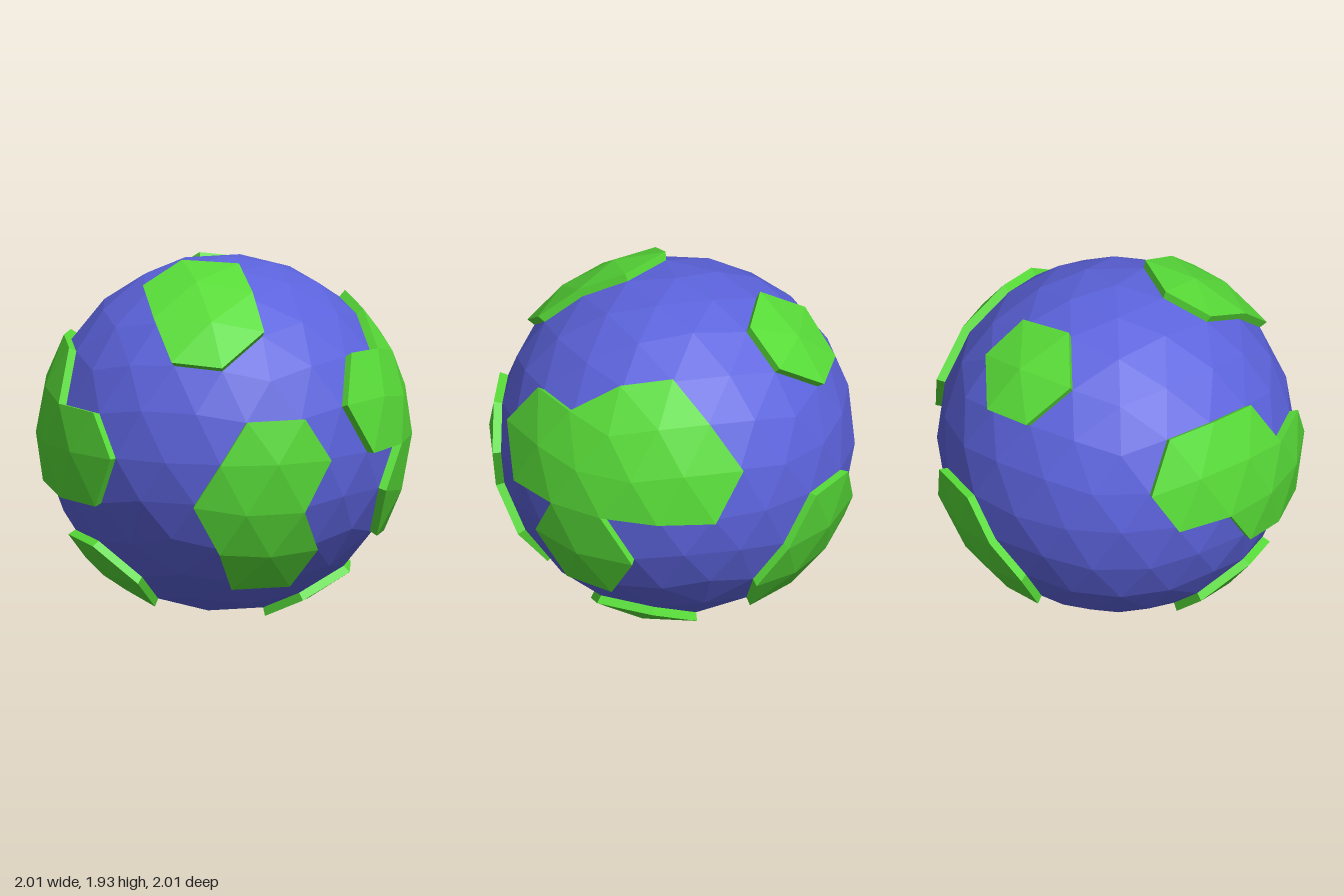
import * as THREE from 'three';

const SEA_RADIUS = 0.956;
const LAND_RADIUS = 1.003;
const CENTRE_HEIGHT = 0.968;

// Each land mass is a union of triangle fans around these unit directions.
const LANDS = {
  frontLand: [[0.309, 0, 0.951], [0.138, -0.276, 0.951], [0.263, -0.526, 0.809]],
  upperFrontLand: [[-0.138, 0.895, 0.425], [-0.053, 0.724, 0.688]],
  upperBackLand: [[-0.053, 0.724, -0.688]],
  leftLand: [
    [0.894, 0.447, 0], [0.962, 0.233, 0.161], [0.962, 0.233, -0.161], [0.862, 0.276, 0.425],
    [0.862, 0.276, -0.425], [0.823, 0.506, -0.26], [0.947, -0.276, 0.163],
  ],
  rightLand: [[-0.809, 0, 0.588], [-0.951, 0, 0.309], [-0.947, 0.276, 0.163], [-0.947, 0.276, -0.163]],
  lowerRightLand: [[-0.638, -0.724, 0.263]],
  backLand: [[0.138, -0.276, -0.951], [0.263, -0.526, -0.809], [-0.007, -0.506, -0.863]],
  bottomLand: [[0.447, -0.894, 0]],
};

// Icosahedron with a vertex at each pole, as triangles of unit vectors
function icosahedron() {
  const ring = (y, startDegrees) => Array.from({ length: 5 }, (_, k) => {
    const a = THREE.MathUtils.degToRad(startDegrees + 72 * k);
    const r = 2 / Math.sqrt(5);
    return new THREE.Vector3(r * Math.sin(a), y / Math.sqrt(5), r * Math.cos(a));
  });
  const top = new THREE.Vector3(0, 1, 0);
  const bottom = new THREE.Vector3(0, -1, 0);
  const upper = ring(1, 18);
  const lower = ring(-1, 54);
  const triangles = [];
  for (let k = 0; k < 5; k++) {
    const n = (k + 1) % 5;
    triangles.push(
      [top, upper[k], upper[n]],
      [upper[k], lower[k], upper[n]],
      [lower[k], lower[n], upper[n]],
      [bottom, lower[n], lower[k]],
    );
  }
  return triangles;
}

// Split every triangle in four and push the new points onto the sphere
function subdivide(triangles) {
  const mid = (a, b) => a.clone().add(b).normalize();
  return triangles.flatMap(([a, b, c]) => {
    const ab = mid(a, b), bc = mid(b, c), ca = mid(c, a);
    return [[a, ab, ca], [ab, b, bc], [ca, bc, c], [ab, bc, ca]];
  });
}

function facetedMesh(name, points, material) {
  const geometry = new THREE.BufferGeometry().setFromPoints(points);
  geometry.computeVertexNormals();
  const mesh = new THREE.Mesh(geometry, material);
  mesh.name = name;
  return mesh;
}

// Raised cap of the chosen triangles plus a wall along its outline
function landPoints(triangles, centres) {
  const isCentre = v => centres.some(c => v.distanceTo(c) < 0.08);
  const chosen = triangles.filter(t => t.some(isCentre));
  const high = v => v.clone().multiplyScalar(LAND_RADIUS);
  const low = v => v.clone().multiplyScalar(SEA_RADIUS - 0.004);
  const key = v => v.toArray().map(n => (Math.round(n * 1000) + 0) || 0).join();
  const edges = new Map();
  for (const t of chosen) {
    t.forEach((a, i) => edges.set(key(a) + '|' + key(t[(i + 1) % 3]), [a, t[(i + 1) % 3]]));
  }
  const points = chosen.flat().map(high);
  for (const [a, b] of edges.values()) {
    if (edges.has(key(b) + '|' + key(a))) continue;
    points.push(low(a), low(b), high(b), low(a), high(b), high(a));
  }
  return points;
}

export function createModel() {
  const group = new THREE.Group();
  group.name = 'planet';
  const seaMaterial = new THREE.MeshStandardMaterial({ color: 0x5c63dc, flatShading: true });
  const landMaterial = new THREE.MeshStandardMaterial({ color: 0x58dc38, flatShading: true });
  const triangles = subdivide(subdivide(icosahedron()));

  // Ocean sphere
  const seaPoints = triangles.flat().map(v => v.clone().multiplyScalar(SEA_RADIUS));
  group.add(facetedMesh('ocean', seaPoints, seaMaterial));

  // Raised land masses
  for (const [name, directions] of Object.entries(LANDS)) {
    const centres = directions.map(d => new THREE.Vector3(...d));
    group.add(facetedMesh(name, landPoints(triangles, centres), landMaterial));
  }

  group.children.forEach(mesh => { mesh.position.y = CENTRE_HEIGHT; });
  return group;
}
